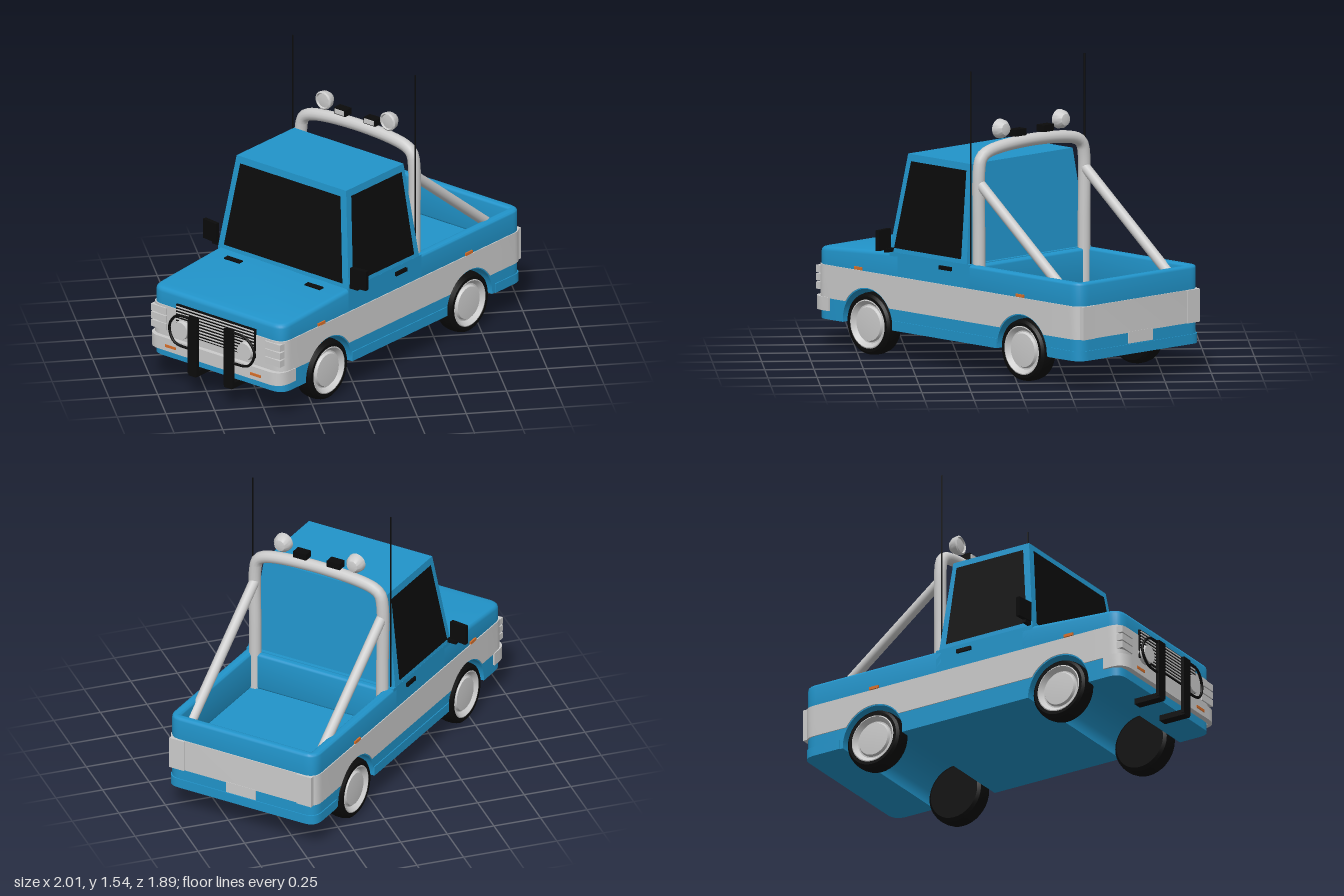
import * as THREE from 'three';
import { toCreasedNormals } from 'three/addons/utils/BufferGeometryUtils.js';

const mat = (color) => new THREE.MeshStandardMaterial({ color, side: THREE.DoubleSide });
const blue = mat(0x2194ca), grey = mat(0xcccccc), black = mat(0x0b0b0b), orange = mat(0xd9702a);
const HW = 0.43, AXLE_Y = 0.16, AXLES = [-0.54, 0.577], SIDES = [1, -1];
const BACK = -0.74, FRONT = 0.78; // ends of the straight middle section

export function createModel() {
  const truck = new THREE.Group();
  truck.name = 'pickupTruck';
  const add = (name, geo, material) => {
    const mesh = new THREE.Mesh(geo, material);
    mesh.name = name;
    truck.add(mesh);
    return mesh;
  };
  const box = (name, material, w, h, d, x, y, z) =>
    add(name, new THREE.BoxGeometry(w, h, d), material).position.set(x, y, z) && truck.children.at(-1);
  const tube = (name, material, pts, r, segs = 24) => add(name, new THREE.TubeGeometry(
    new THREE.CatmullRomCurve3(pts.map((p) => new THREE.Vector3(...p))), segs, r, 14), material);

  // Plan outline with rounded corners at the zOut end (shape y is -z)
  const endPlan = (w, zIn, zOut, r, thickness = 0) => {
    const s = Math.sign(zOut - zIn), p = new THREE.Shape();
    p.moveTo(-w, -zIn);
    p.lineTo(-w, -(zOut - s * r));
    p.quadraticCurveTo(-w, -zOut, -w + r, -zOut);
    p.lineTo(w - r, -zOut);
    p.quadraticCurveTo(w, -zOut, w, -(zOut - s * r));
    p.lineTo(w, -zIn);
    if (thickness) {
      const t = thickness;
      [[w - t, zIn], [w - t, zOut - s * t], [-w + t, zOut - s * t], [-w + t, zIn]].forEach(([x, z]) => p.lineTo(x, -z));
    }
    p.closePath();
    return p;
  };
  const raise = (shape, y0, y1, bevel = 0) => {
    const g = new THREE.ExtrudeGeometry(shape, {
      depth: y1 - y0 - 2 * bevel, curveSegments: 8, bevelEnabled: bevel > 0,
      bevelSize: bevel, bevelThickness: bevel, bevelOffset: -bevel, bevelSegments: 3,
    });
    return g.rotateX(-Math.PI / 2).translate(0, y0 + bevel, 0);
  };
  const crease = (g) => toCreasedNormals(g, 0.6);

  // Side profile with wheel arches cut from its lower edge, extruded across x
  const archedSide = (y0, y1, r, width, x) => {
    const p = new THREE.Shape(), a = Math.asin((y0 - AXLE_Y) / r);
    p.moveTo(BACK, y0);
    for (const c of AXLES) {
      p.lineTo(c - r * Math.cos(a), y0);
      p.absarc(c, AXLE_Y, r, Math.PI - a, a, true);
    }
    p.lineTo(FRONT, y0);
    p.lineTo(FRONT, y1);
    p.lineTo(BACK, y1);
    p.closePath();
    const g = new THREE.ExtrudeGeometry(p, { depth: width, bevelEnabled: false, curveSegments: 24 });
    return crease(g.rotateY(-Math.PI / 2).translate(x + width / 2, 0, 0));
  };

  // Lower body, floor and nose
  add('lowerBody', archedSide(0.15, 0.35, 0.18, HW * 2, 0), blue);
  add('lowerTail', crease(raise(endPlan(HW, BACK, -0.955, 0.07), 0.15, 0.35)), blue);
  add('lowerNose', crease(raise(endPlan(HW, FRONT, 0.945, 0.07), 0.15, 0.35)), blue);
  box('cabBase', blue, HW * 2, 0.21, 0.58, 0, 0.448, 0.13);

  // Hood, sloping down to the front
  const hood = raise(endPlan(HW, 0.36, 0.945, 0.07), 0.34, 0.555, 0.022);
  const hp = hood.attributes.position;
  for (let i = 0; i < hp.count; i++)
    if (hp.getY(i) > 0.5) hp.setY(i, hp.getY(i) - 0.073 * Math.max(0, hp.getZ(i) - 0.42));
  add('hood', crease(hood), blue);

  // Open bed walls
  const bed = endPlan(HW, -0.13, -0.955, 0.07);
  const hole = new THREE.Path();
  [[-0.38, 0.19], [0.38, 0.19], [0.38, 0.91], [-0.38, 0.91]].forEach(([x, y], i) => (i ? hole.lineTo(x, y) : hole.moveTo(x, y)));
  hole.closePath();
  bed.holes.push(hole);
  add('bedWalls', crease(raise(bed, 0.345, 0.55, 0.015)), blue);

  // Pale stripe all round, sills and front bumper
  for (const s of SIDES) {
    add('sideStripe', archedSide(0.26, 0.43, 0.186, 0.02, s * (HW - 0.005)), grey);
    box('sill', blue, 0.02, 0.05, 0.757, s * (HW - 0.005), 0.175, 0.018);
  }
  add('rearStripe', crease(raise(endPlan(HW + 0.005, BACK, -0.96, 0.07, 0.03), 0.26, 0.43)), grey);
  add('frontStripe', crease(raise(endPlan(HW + 0.005, FRONT, 0.95, 0.07, 0.03), 0.26, 0.43)), grey);
  add('rearSkirt', crease(raise(endPlan(HW + 0.005, BACK, -0.96, 0.07, 0.03), 0.15, 0.2)), blue);
  add('frontBumper', crease(raise(endPlan(HW + 0.01, 0.85, 0.975, 0.08, 0.035), 0.195, 0.265)), grey);

  // Cab, tapering to the roof
  const Y0 = 0.55, Y1 = 1.055, lerp = THREE.MathUtils.lerp;
  const k = (y) => (y - Y0) / (Y1 - Y0);
  const halfX = (y) => lerp(HW, 0.36, k(y)), frontZ = (y) => lerp(0.42, 0.355, k(y));
  const cab = new THREE.BoxGeometry(2, 1, 2), cp = cab.attributes.position;
  for (let i = 0; i < cp.count; i++) {
    const y = cp.getY(i) > 0 ? Y1 : Y0;
    const z = cp.getZ(i) > 0 ? frontZ(y) : lerp(-0.14, -0.1, k(y));
    cp.setXYZ(i, Math.sign(cp.getX(i)) * halfX(y), y, z);
  }
  cab.computeVertexNormals();
  add('cab', cab, blue);

  // Dark glass
  const quad = (name, pts) => {
    const g = new THREE.BufferGeometry();
    g.setAttribute('position', new THREE.Float32BufferAttribute(pts.flat(), 3));
    g.setIndex([0, 1, 2, 0, 2, 3]);
    g.computeVertexNormals();
    add(name, g, black);
  };
  const gb = 0.575, gt = 1.02, e = 0.004;
  quad('windshield', [[-0.39, gb, frontZ(gb) + e], [0.39, gb, frontZ(gb) + e], [0.33, gt, frontZ(gt) + e], [-0.33, gt, frontZ(gt) + e]]);
  for (const s of SIDES) {
    const b = s * (halfX(gb) + e), t = s * (halfX(gt) + e);
    const pts = [[b, gb, 0.385], [b, gb, -0.1], [t, gt, -0.075], [t, gt, 0.325]];
    quad('sideWindow', s > 0 ? pts : pts.reverse());
  }

  // Wheels
  const lathe = (pts) => toCreasedNormals(
    new THREE.LatheGeometry(pts.map(([r, y]) => new THREE.Vector2(r, y)), 36).rotateZ(-Math.PI / 2), 0.5);
  const tyre = lathe([[0, -0.05], [0.14, -0.05], [0.155, -0.038], [0.16, -0.015], [0.16, 0.015], [0.155, 0.038], [0.142, 0.05], [0.126, 0.05], [0.12, 0.02]]);
  const rim = lathe([[0.128, 0.047], [0.12, 0.05], [0.1, 0.028], [0.093, 0.028], [0.086, 0.042], [0, 0.048]]);
  for (const z of AXLES) for (const s of SIDES) {
    for (const [name, g, m] of [['tyre', tyre, black], ['wheelRim', rim, grey]]) {
      const part = add(name, g, m);
      part.position.set(s * 0.383, AXLE_Y, z);
      part.rotation.y = s > 0 ? 0 : Math.PI;
    }
  }

  // Roll bar with rear braces
  const R = 0.372, Z = -0.17;
  tube('rollBar', grey, [[-R, 0.34, Z], [-R, 0.7, Z], [-R, 1.03, Z], [-R + 0.015, 1.09, Z], [-R + 0.06, 1.12, Z],
    [0, 1.148, Z], [R - 0.06, 1.12, Z], [R - 0.015, 1.09, Z], [R, 1.03, Z], [R, 0.7, Z], [R, 0.34, Z]], 0.032, 90);

  // Spot lamp body, opening toward +z
  const spot = toCreasedNormals(new THREE.LatheGeometry(
    [[0, -0.04], [0.03, -0.033], [0.046, -0.01], [0.05, 0.018], [0.042, 0.024], [0.038, 0.014], [0, 0.02]]
      .map(([r, y]) => new THREE.Vector2(r, y)), 28).rotateX(Math.PI / 2), 0.6);

  // Everything mirrored left and right
  for (const s of SIDES) {
    tube('rollBarBrace', grey, [[s * R, 0.97, Z], [s * R, 0.39, -0.915]], 0.027, 4);
    const antenna = add('antenna', new THREE.CylinderGeometry(0.004, 0.004, 1.02, 8), black);
    antenna.position.set(s * 0.403, 1.03, -0.142);
    add('spotLamp', spot, grey).position.set(s * 0.212, 1.228, Z);
    box('smallLamp', black, 0.075, 0.035, 0.05, s * 0.098, 1.198, Z);
    box('smallLampLens', grey, 0.06, 0.024, 0.006, s * 0.098, 1.198, Z + 0.027);
    // mirrors, handles, markers, vents
    const mirror = box('mirror', black, 0.095, 0.105, 0.022, s * 0.488, 0.622, 0.405);
    mirror.rotation.y = s * 0.12;
    box('mirrorArm', black, 0.06, 0.02, 0.02, s * 0.448, 0.565, 0.4);
    box('doorHandle', black, 0.02, 0.02, 0.085, s * 0.431, 0.516, 0.01);
    for (const z of [0.64, -0.53]) box('sideMarker', orange, 0.012, 0.015, 0.055, s * 0.432, 0.44, z);
    const vent = box('hoodVent', black, 0.1, 0.012, 0.03, s * 0.265, 0.548, 0.495);
    vent.rotation.x = 0.073;
    // lamps
    for (const y of [0.315, 0.358, 0.401]) box('cornerLamp', grey, 0.1, 0.036, 0.075, s * 0.375, y, 0.92);
    box('bumperSignal', orange, 0.07, 0.014, 0.012, s * 0.28, 0.224, 0.973);
    const head = add('headlight', new THREE.CylinderGeometry(0.045, 0.052, 0.04, 28).rotateX(Math.PI / 2), grey);
    head.position.set(s * 0.21, 0.335, 0.965);
    box('tailLight', grey, 0.085, 0.17, 0.04, s * 0.372, 0.345, -0.948);
    // bull bar
    box('bullBarUpright', black, 0.06, 0.31, 0.018, s * 0.118, 0.28, 0.992);
    box('bullBarFoot', black, 0.05, 0.03, 0.15, s * 0.118, 0.13, 0.925);
    tube('bullBarHoop', black, [[s * 0.118, 0.425, 0.99], [s * 0.23, 0.415, 0.99], [s * 0.28, 0.345, 0.985],
      [s * 0.245, 0.27, 0.99], [s * 0.118, 0.255, 0.99]], 0.007);
  }

  // Grille with slats, and rear number plate recess
  box('grille', black, 0.52, 0.155, 0.02, 0, 0.383, 0.948);
  for (let i = 0; i < 9; i++) box('grilleSlat', grey, 0.51, 0.006, 0.008, 0, 0.316 + i * 0.0168, 0.959);
  box('rearPlate', grey, 0.17, 0.06, 0.02, 0, 0.235, -0.952);

  // The truck stands at an angle
  truck.rotation.y = -0.859;
  const root = new THREE.Group();
  root.add(truck);
  return root;
}
